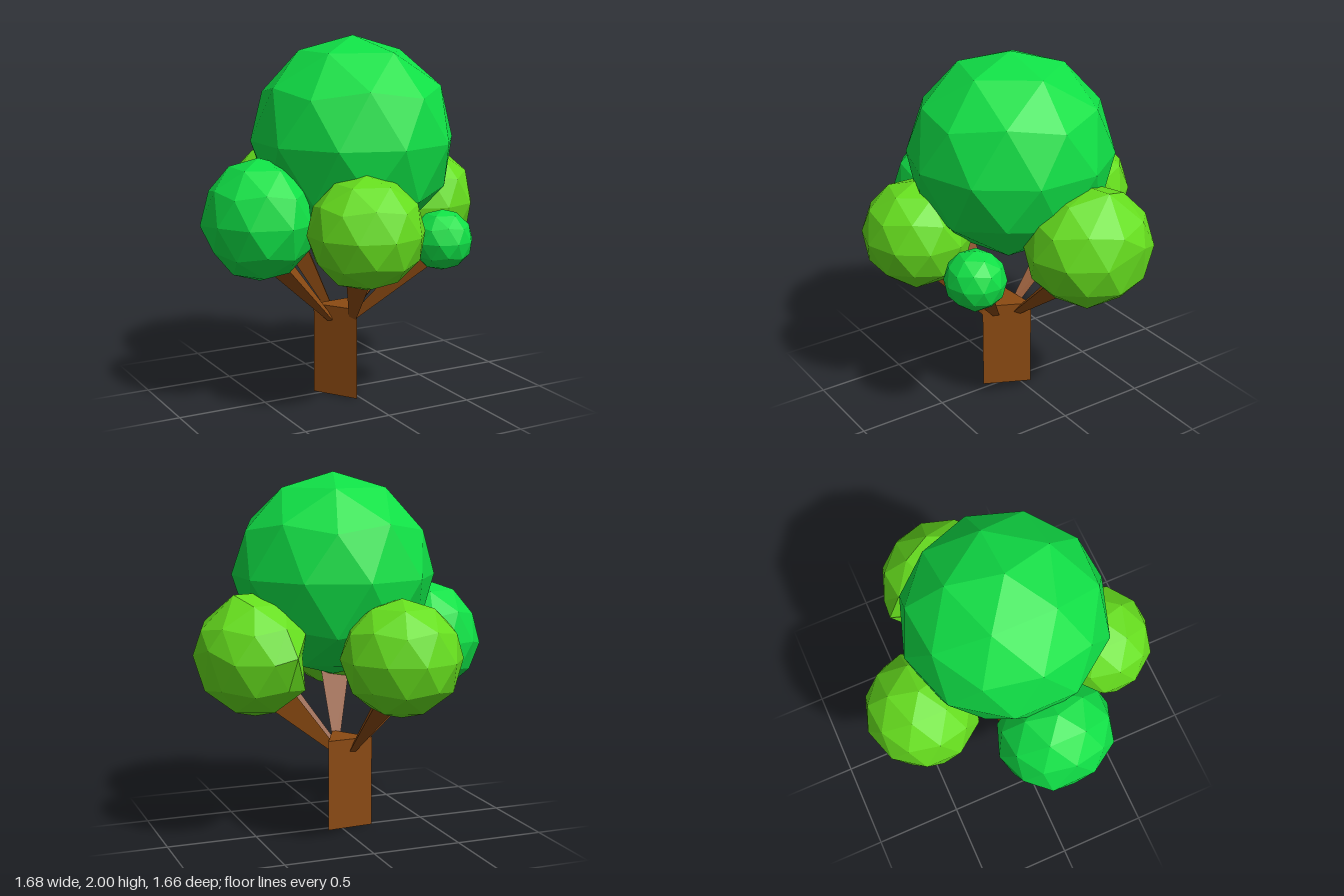
import * as THREE from 'three';

const DARK = 0x10e046, LIGHT = 0x66de1e, BARK = 0x8b4a12;
const V = (a) => new THREE.Vector3(...a);
const paint = (color) => new THREE.MeshStandardMaterial({ color, flatShading: true });

// Faceted ball: poles up, scaled, with chosen corners dragged out and the inner side trimmed.
function leafBall({ centre, size, spin = 0, corners = [], minX = -9, maxX = 9 }) {
  const geo = new THREE.IcosahedronGeometry(1, 1);
  geo.rotateZ(-Math.atan(2 / (1 + Math.sqrt(5))));
  geo.rotateY(spin).scale(...size).translate(...centre);
  const pos = geo.attributes.position;
  const p = new THREE.Vector3();
  for (const target of corners.map(V)) {
    const nearest = new THREE.Vector3(99, 99, 99);
    for (let i = 0; i < pos.count; i++) {
      p.fromBufferAttribute(pos, i);
      if (p.distanceTo(target) < nearest.distanceTo(target)) nearest.copy(p);
    }
    for (let i = 0; i < pos.count; i++) {
      p.fromBufferAttribute(pos, i);
      if (p.distanceTo(nearest) < 1e-4) pos.setXYZ(i, target.x, target.y, target.z);
    }
  }
  for (let i = 0; i < pos.count; i++) {
    pos.setX(i, THREE.MathUtils.clamp(pos.getX(i), minX, maxX));
  }
  geo.computeVertexNormals();
  return geo;
}

// Three-sided limb that widens from the trunk towards the foliage.
function branchGeometry(from, to, r0, r1) {
  const a = V(from), dir = V(to).sub(a), length = dir.length();
  const geo = new THREE.CylinderGeometry(r1, r0, length, 3);
  geo.translate(0, length / 2, 0);
  const turn = new THREE.Quaternion().setFromUnitVectors(new THREE.Vector3(0, 1, 0), dir.normalize());
  return geo.applyQuaternion(turn).translate(a.x, a.y, a.z);
}

export function createModel() {
  const tree = new THREE.Group();
  tree.name = 'tree';
  const add = (name, geo, color) => {
    const mesh = new THREE.Mesh(geo, paint(color));
    mesh.name = name;
    tree.add(mesh);
  };

  // Triangular trunk with a green underside
  const plan = [[-0.18, -0.03], [-0.03, 0.2], [0.09, -0.05]];
  const outline = (sign) => new THREE.Shape(plan.map(([x, z]) => new THREE.Vector2(x, sign * z)));
  const trunk = new THREE.ExtrudeGeometry(outline(-1), { depth: 0.513, bevelEnabled: false });
  add('trunk', trunk.rotateX(-Math.PI / 2).translate(0, 0.003, 0), BARK);
  add('trunkBase', new THREE.ShapeGeometry(outline(1)).rotateX(Math.PI / 2), LIGHT);

  // Branches reaching into the lower foliage
  const branches = {
    rightBranch: [[-0.12, 0.44, 0.06], [-0.49, 0.85, 0.09], 0.02, 0.085],
    frontBranch: [[-0.03, 0.44, 0.15], [-0.11, 0.86, 0.43], 0.02, 0.11],
    smallBranch: [[-0.01, 0.45, 0.12], [0.28, 0.84, 0.42], 0.02, 0.075],
    leftBranch: [[0.03, 0.45, 0.02], [0.45, 0.86, -0.08], 0.02, 0.1],
    backBranch: [[-0.06, 0.44, -0.02], [-0.12, 0.86, -0.43], 0.02, 0.09],
  };
  for (const [name, spec] of Object.entries(branches)) add(name, branchGeometry(...spec), BARK);

  // Crown and the five smaller clumps around it
  add('crown', leafBall({ centre: [0.025, 1.44, 0.045], size: [0.56, 0.56, 0.565] }), DARK);
  add('smallClump', leafBall({ centre: [0.335, 0.925, 0.475], size: [0.17, 0.165, 0.165] }), DARK);
  add('frontClump', leafBall({
    centre: [-0.16, 1.02, 0.53], size: [0.312, 0.3, 0.3],
  }), LIGHT);
  add('backClump', leafBall({
    centre: [-0.145, 1.045, -0.515], size: [0.325, 0.315, 0.315],
  }), LIGHT);
  add('leftClump', leafBall({
    centre: [0.53, 1.04, -0.11], size: [0.325, 0.33, 0.355], minX: 0.3,
    corners: [[0.41, 1.07, -0.475], [0.82, 1.1, -0.25], [0.65, 1.37, -0.14]],
  }), LIGHT);
  add('rightClump', leafBall({
    centre: [-0.56, 1.05, 0.09], size: [0.295, 0.33, 0.33], maxX: -0.34,
    corners: [[-0.52, 1.05, 0.42], [-0.84, 1.02, -0.05]],
  }), DARK);

  return tree;
}
